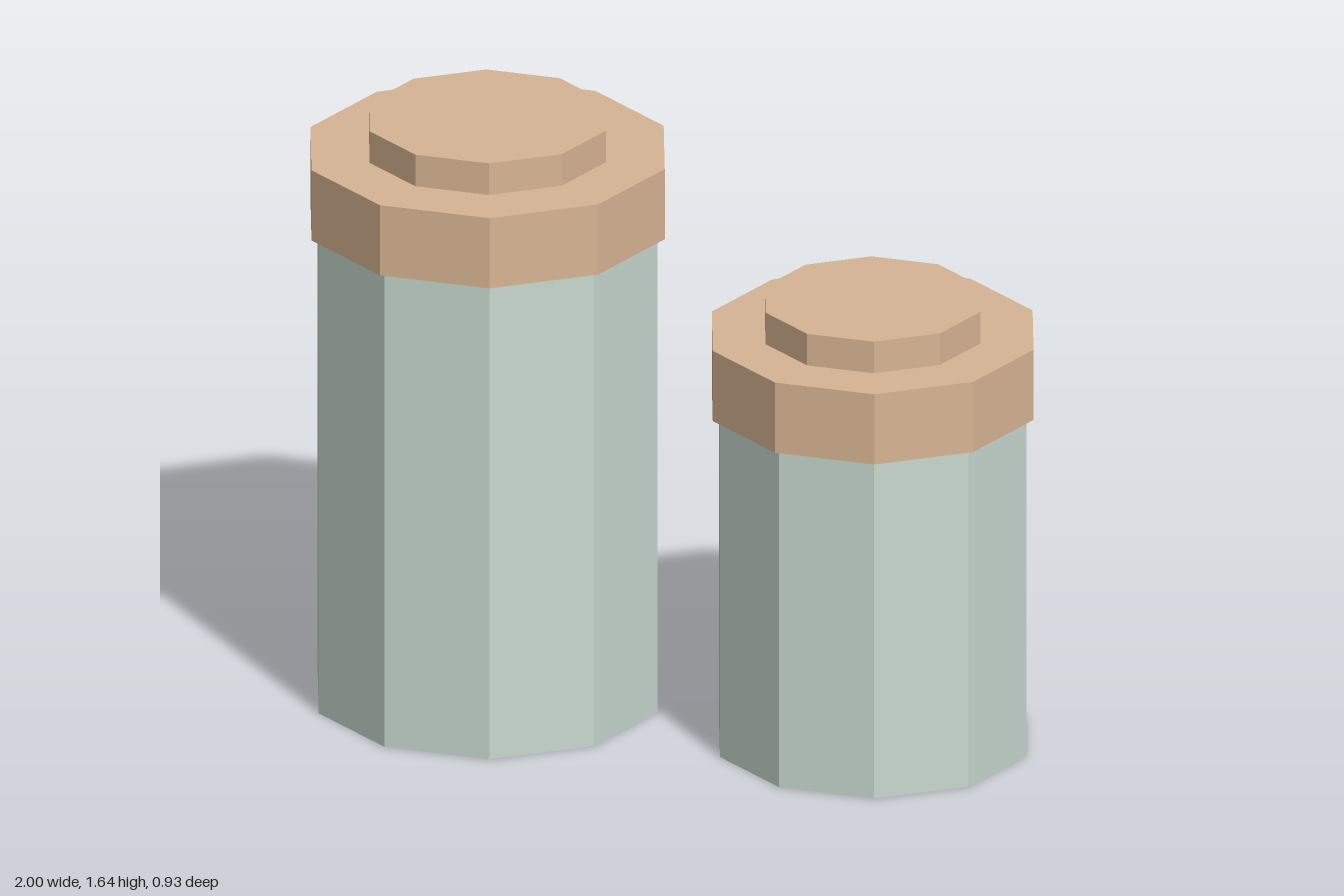
import * as THREE from 'three';

const SIDES = 10;

export function createModel() {
  const model = new THREE.Group();
  model.name = 'canisterSet';

  const glaze = new THREE.MeshStandardMaterial({ color: 0xc8d9d0 });
  glaze.name = 'pale green glaze';
  const wood = new THREE.MeshStandardMaterial({ color: 0xd8b594 });
  wood.name = 'light wood';

  // Faceted drum standing between two heights, with a corner on the x axis
  function drum(name, radius, bottom, top, material) {
    const geometry = new THREE.CylinderGeometry(
      radius, radius, top - bottom, SIDES, 1, false, Math.PI / 2
    ).toNonIndexed();
    geometry.computeVertexNormals();
    const mesh = new THREE.Mesh(geometry, material);
    mesh.name = name;
    mesh.position.y = (bottom + top) / 2;
    return mesh;
  }

  // Jar body with an overhanging lid and a low grip on top
  function canister(name, x, bodyRadius, lidRadius, gripRadius, bodyTop) {
    const group = new THREE.Group();
    group.name = name;
    group.position.x = x;
    const lidTop = bodyTop + 0.2;
    group.add(
      drum('body', bodyRadius, 0, bodyTop, glaze),
      drum('lid', lidRadius, bodyTop, lidTop, wood),
      drum('lidGrip', gripRadius, lidTop, lidTop + 0.09, wood)
    );
    return group;
  }

  model.add(
    canister('tallCanister', -0.51, 0.47, 0.49, 0.328, 1.35),
    canister('shortCanister', 0.555, 0.425, 0.445, 0.298, 0.96)
  );
  return model;
}
